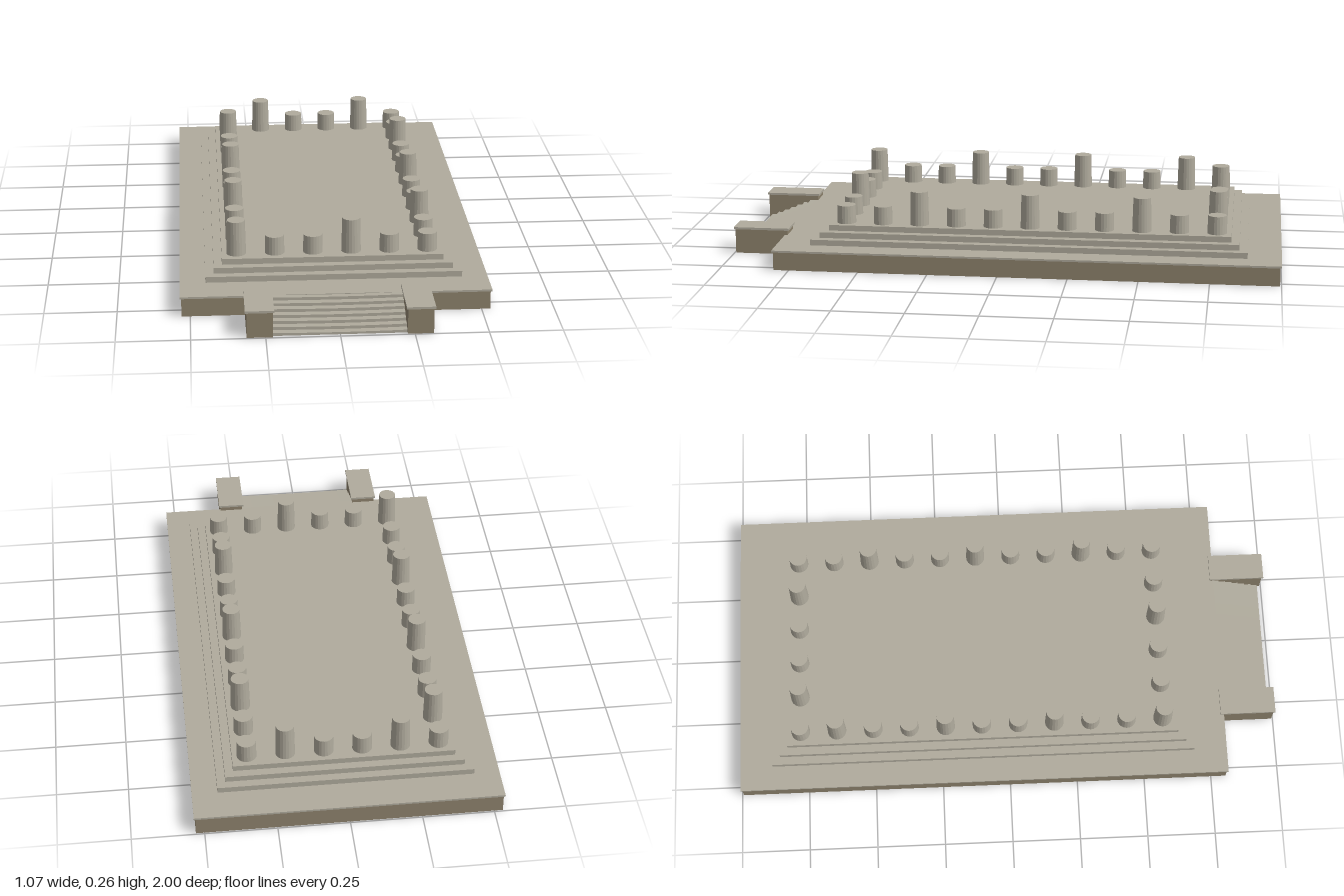
import * as THREE from 'three';

export function createModel() {
  const model = new THREE.Group();
  const stone = new THREE.MeshStandardMaterial({ color: 0xb0ab9d, flatShading: true });
  stone.name = 'pale stone';
  const earth = new THREE.MeshStandardMaterial({ color: 0x8e836d, flatShading: true });
  earth.name = 'brown masonry';

  const add = (name, geometry, material, parent = model) => {
    const mesh = new THREE.Mesh(geometry, material);
    mesh.name = name;
    parent.add(mesh);
    return mesh;
  };
  // Box given by its limits on each axis
  const block = (name, [x0, x1], [y0, y1], [z0, z1], material, parent) => {
    const mesh = add(name, new THREE.BoxGeometry(x1 - x0, y1 - y0, z1 - z0), material, parent);
    mesh.position.set((x0 + x1) / 2, (y0 + y1) / 2, (z0 + z1) / 2);
    return mesh;
  };

  // Terrace with a thin paved lip
  block('terraceBody', [-0.53, 0.53], [0, 0.066], [-0.995, 0.805], earth);
  block('terracePaving', [-0.535, 0.535], [0.066, 0.073], [-1, 0.81], stone);

  // Three-stepped temple floor
  for (let i = 0; i < 3; i++) {
    const inset = i * 0.0295;
    block('floorStep' + (i + 1), [-0.446 + inset, 0.446 - inset],
      [0.073 + i * 0.0207, 0.0937 + i * 0.0207], [-0.88 + inset, 0.688 - inset], stone);
  }

  // Broken columns round the edge; every third one stands taller
  const floorY = 0.135, columns = 6, rows = 11, pitch = 0.1342;
  const colonnade = new THREE.Group();
  colonnade.name = 'colonnade';
  model.add(colonnade);
  const tall = new THREE.CylinderGeometry(0.0315, 0.0345, 0.124, 20).translate(0, 0.062, 0);
  const short = new THREE.CylinderGeometry(0.033, 0.0345, 0.066, 20).translate(0, 0.033, 0);
  for (let j = 0; j < rows; j++) {
    for (let i = 0; i < columns; i++) {
      if (i > 0 && i < columns - 1 && j > 0 && j < rows - 1) continue;
      const isTall = (i + 2 * j) % 3 === 0;
      const column = add(isTall ? 'tallColumn' : 'shortColumn', isTall ? tall : short, stone, colonnade);
      column.position.set((i - 2.5) * pitch, floorY, 0.573 - j * pitch);
    }
  }

  // Front stair, each tread slightly worn in the middle
  const stair = new THREE.Group();
  stair.name = 'frontStair';
  model.add(stair);
  const steps = 7, rise = 0.073 / steps, tread = 0.0257, half = 0.226;
  for (let i = 0; i < steps; i++) {
    const top = (i + 1) * rise;
    const profile = new THREE.Shape();
    profile.moveTo(-half, 0);
    profile.lineTo(half, 0);
    profile.lineTo(half, top);
    profile.quadraticCurveTo(0, top - 0.005, -half, top);
    const front = 0.985 - i * tread;
    const depth = i === steps - 1 ? front - 0.8 : tread;
    const geometry = new THREE.ExtrudeGeometry(profile, { depth, bevelEnabled: false, curveSegments: 10 });
    add('stairTread', geometry, stone, stair).position.z = front - depth;
  }

  // Capped cheek walls beside the stair
  for (const side of [-1, 1]) {
    const span = (a, b) => (side > 0 ? [a, b] : [-b, -a]);
    block('cheekWall', span(0.226, 0.314), [0, 0.09], [0.8, 0.995], earth, stair);
    block('cheekCap', span(0.221, 0.319), [0.09, 0.098], [0.795, 1], stone, stair);
  }
  return model;
}
